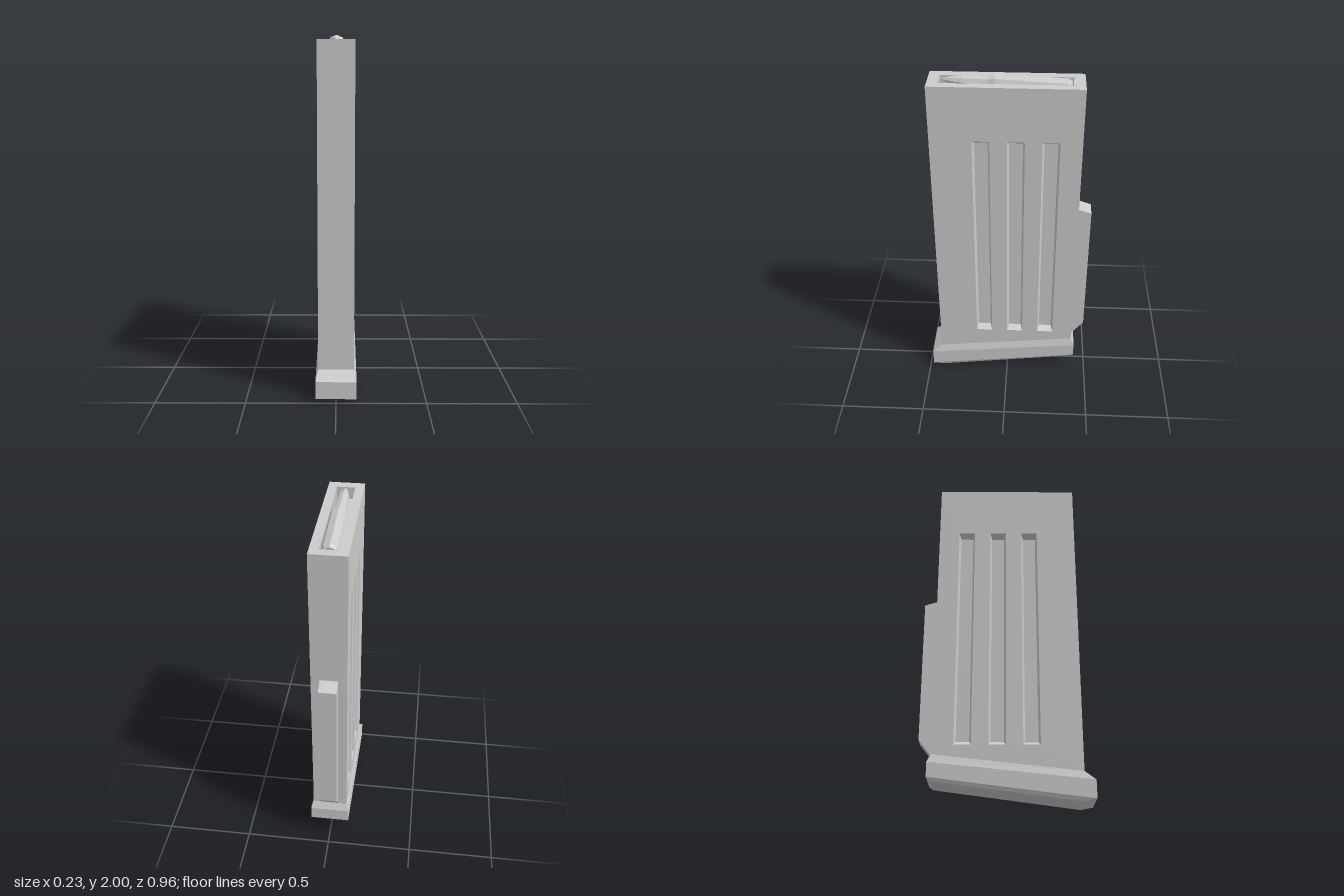
import * as THREE from 'three';

const material = new THREE.MeshStandardMaterial({ color: 0xcccccc, flatShading: true });
const TOP = 1.965, HALF = 0.1, FRONT = 0.42, BACK = -0.405;

function mesh(name, geometry) {
  const m = new THREE.Mesh(geometry, material);
  m.name = name;
  return m;
}

// Skin four-cornered rings (counter-clockwise seen from the open or far end)
function loft(rings, capStart, capEnd) {
  const pos = [];
  const quad = (a, b, c, d) => pos.push(...a, ...b, ...c, ...a, ...c, ...d);
  for (let k = 0; k + 1 < rings.length; k++) {
    for (let i = 0; i < 4; i++) {
      const j = (i + 1) % 4;
      quad(rings[k][i], rings[k][j], rings[k + 1][j], rings[k + 1][i]);
    }
  }
  if (capStart) quad(...[...rings[0]].reverse());
  if (capEnd) quad(...rings[rings.length - 1]);
  const g = new THREE.BufferGeometry();
  g.setAttribute('position', new THREE.Float32BufferAttribute(pos, 3));
  g.computeVertexNormals();
  return g;
}

// Rectangle in the xy plane at depth z
const rect = (x0, x1, y0, y1, z) => [[x0, y0, z], [x1, y0, z], [x1, y1, z], [x0, y1, z]];
const path = (pts, Type = THREE.Path) => new Type(pts.map(p => new THREE.Vector2(p[0], p[1])));

// Side wall with three pressed grooves, s = +1 left, -1 right
function sideWall(s) {
  const g = new THREE.Group();
  g.name = s > 0 ? 'leftWall' : 'rightWall';
  const wall = path([[-s * FRONT, 0.165], [-s * BACK, 0.255], [-s * BACK, TOP], [-s * FRONT, TOP]], THREE.Shape);
  for (const z of [0.1425, -0.0475, -0.2375]) {
    const u = -s * z;
    const mouth = rect(u - 0.0475, u + 0.0475, 0.31, 1.655, 0);
    const floor = rect(u - 0.037, u + 0.037, 0.333, 1.632, -0.035);
    wall.holes.push(path(mouth));
    g.add(mesh('groove', loft([mouth, floor], false, true)));
  }
  g.add(mesh('wallPanel', new THREE.ShapeGeometry(wall)));
  g.rotation.y = s * Math.PI / 2;
  g.position.x = s * HALF;
  return g;
}

// Top rim and the well that holds the cartridge
function topRim() {
  const g = new THREE.Group();
  g.name = 'topRim';
  const rim = path(rect(-HALF, HALF, -FRONT, -BACK, 0), THREE.Shape);
  const mouth = rect(-0.051, 0.051, -0.36, 0.352, 0);
  rim.holes.push(path(mouth));
  g.add(mesh('rimPanel', new THREE.ShapeGeometry(rim)));
  g.add(mesh('well', loft([mouth, rect(-0.051, 0.051, -0.36, 0.352, -0.07)], false, true)));
  g.rotation.x = -Math.PI / 2;
  g.position.y = TOP;
  return g;
}

// Sloping horizontal ring for the base plate
const slopeRing = (hx, zf, yf, zb, yb) => [[-hx, yf, zf], [hx, yf, zf], [hx, yb, zb], [-hx, yb, zb]];

export function createModel() {
  const model = new THREE.Group();
  model.name = 'magazine';

  // Casing
  model.add(sideWall(1), sideWall(-1), topRim());
  model.add(mesh('frontWall', new THREE.PlaneGeometry(0.2, 1.8).translate(0, 1.065, FRONT)));
  model.add(mesh('backWall', new THREE.PlaneGeometry(0.2, 1.71).rotateY(Math.PI).translate(0, 1.11, BACK)));

  // Flared base plate
  model.add(mesh('basePlate', loft([
    slopeRing(0.104, 0.41, 0, -0.4, 0.108),
    slopeRing(0.114, 0.48, 0.015, -0.425, 0.128),
    slopeRing(0.114, 0.48, 0.115, -0.425, 0.21),
    slopeRing(HALF, FRONT, 0.165, BACK, 0.255),
  ], true, false)));

  // Spine on the back wall
  model.add(mesh('backSpine', loft([
    rect(0.05, -0.05, 0.255, 1.205, BACK),
    rect(0.05, -0.05, 0.35, 1.18, -0.48),
  ], false, true)));

  // Eight-sided cartridge, tilted nose up
  const profile = [
    [0, -0.35], [0.05, -0.35], [0.05, -0.34], [0.04, -0.335], [0.04, -0.325], [0.05, -0.312],
    [0.05, 0.065], [0.037, 0.105], [0.031, 0.24], [0.02, 0.3], [0, 0.352],
  ].map(p => new THREE.Vector2(p[0], p[1]));
  const cartridge = mesh('cartridge', new THREE.LatheGeometry(profile, 8).rotateX(Math.PI / 2));
  cartridge.rotation.x = -0.05;
  cartridge.position.y = 1.9467;
  model.add(cartridge);

  return model;
}
